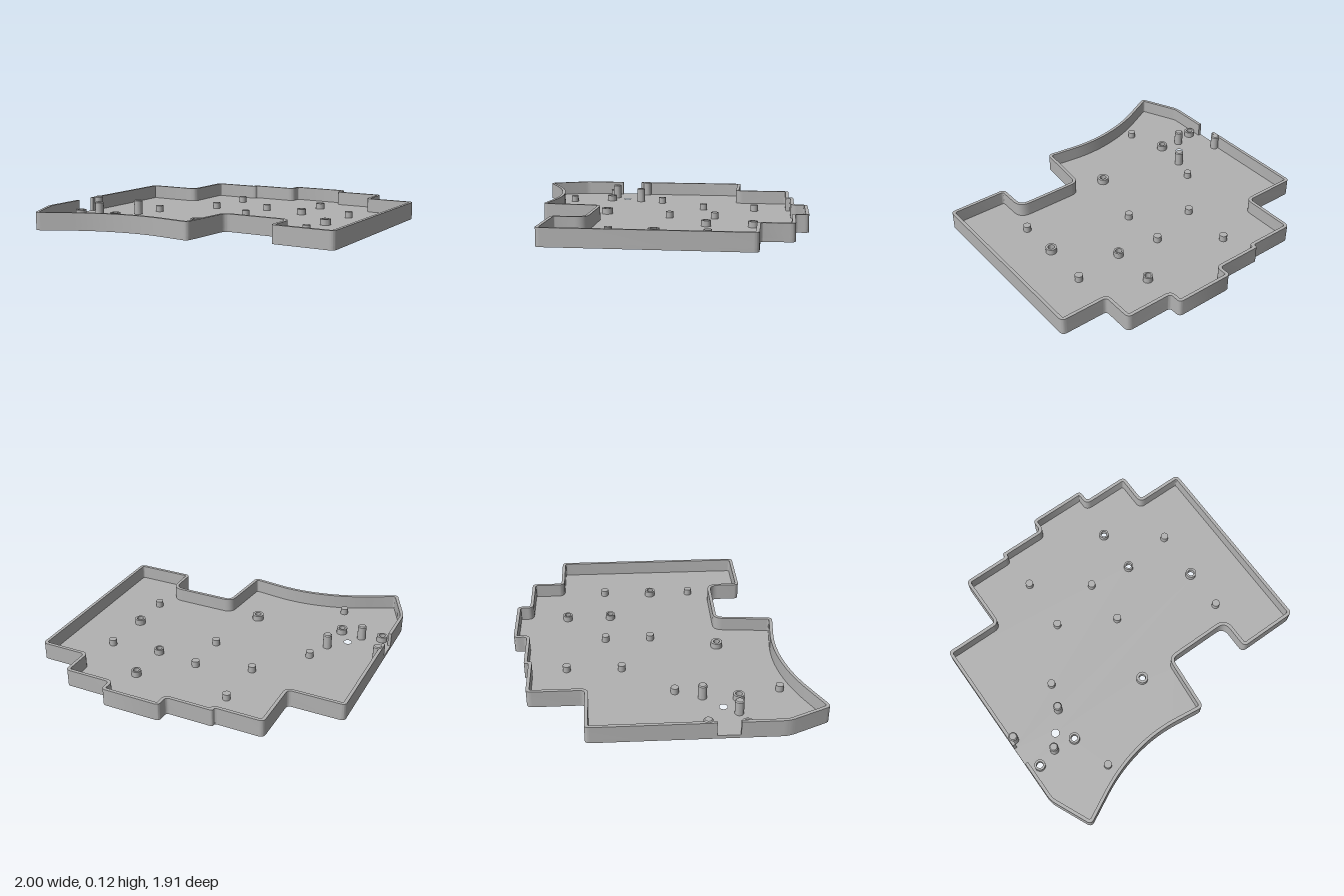
import * as THREE from 'three';
import { toCreasedNormals } from 'three/addons/utils/BufferGeometryUtils.js';

const FLOOR = 0.022, RIM = 0.113, WALL = 0.021;
const NOTCH = [0.28, 0.42]; // cable notch in the right wall, along z

// Tray outline: [x, z, corner radius], starting and ending at the notch
const outline = [
  [-1, NOTCH[0], 0],
  [-1, -0.485, 0.03], [-0.637, -0.485, 0.03], [-0.637, -0.84, 0.035],
  [-0.327, -0.84, 0.015], [-0.327, -0.87, 0.015], [-0.02, -0.87, 0.025],
  [-0.02, -0.956, 0.03], [0.374, -0.956, 0.03], [0.374, -0.87, 0.025],
  [0.687, -0.87, 0.035], [0.687, -0.665, 0.025], [1, -0.665, 0.035],
  [1, 0.608, 0.035], [0.597, 0.608, 0.035], [0.597, 0.4, 0.06],
  [0.165, 0.4, 0.04], [0.132, 0.776, 0.035], [-0.22, 0.732, 0.16],
  [-0.54, 0.795, 0.16], [-0.878, 0.968, 0.035], [-1, 0.7, 0.04],
  [-1, NOTCH[1], 0],
].map(([x, z, r]) => ({ p: new THREE.Vector2(x, -z), r }));

// Move the outline inward by t, keeping the corners concentric
function inset(pts, t) {
  const normal = (a, b) => {
    const d = b.p.clone().sub(a.p).normalize();
    return new THREE.Vector2(d.y, -d.x);
  };
  return pts.map((c, i) => {
    const n1 = i > 0 ? normal(pts[i - 1], c) : normal(c, pts[i + 1]);
    const n2 = i < pts.length - 1 ? normal(c, pts[i + 1]) : n1;
    const convex = n1.x * n2.y - n1.y * n2.x < 0;
    const p = n1.clone().add(n2).multiplyScalar(t / (1 + n1.dot(n2))).add(c.p);
    return { p, r: c.r === 0 ? 0 : Math.max(0.008, c.r + (convex ? -t : t)) };
  });
}

// Closed shape with rounded corners
function roundedShape(pts) {
  const s = new THREE.Shape();
  const n = pts.length;
  pts.forEach((c, i) => {
    const a = pts[(i + n - 1) % n].p, b = pts[(i + 1) % n].p;
    const toward = (q) => {
      const d = q.clone().sub(c.p), len = d.length();
      return d.multiplyScalar(Math.min(c.r, len * 0.48) / len).add(c.p);
    };
    const start = c.r ? toward(a) : c.p, end = c.r ? toward(b) : c.p;
    if (i === 0) s.moveTo(start.x, start.y);
    else s.lineTo(start.x, start.y);
    if (c.r) s.quadraticCurveTo(c.p.x, c.p.y, end.x, end.y);
  });
  s.closePath();
  return s;
}

function slab(shape, y, height) {
  const g = new THREE.ExtrudeGeometry(shape, { depth: height, bevelEnabled: false, curveSegments: 10 });
  g.rotateX(-Math.PI / 2).translate(0, y, 0);
  return toCreasedNormals(g, 0.5);
}

export function createModel() {
  const model = new THREE.Group();
  model.name = 'caseTray';
  const grey = new THREE.MeshStandardMaterial({ color: 0xb2b2b2 });
  grey.name = 'grey plastic';
  const add = (name, geometry, x = 0, z = 0) => {
    const m = new THREE.Mesh(geometry, grey);
    m.name = name;
    m.position.set(x, 0, z);
    model.add(m);
  };

  // Screw bosses: x, z, outer radius, hole radius
  const bosses = [
    [0.335, -0.613, 0.031, 0.02], [0.335, -0.32, 0.031, 0.02],
    [0.648, -0.03, 0.035, 0.021], [-0.06, 0.378, 0.038, 0.021],
    [-0.926, 0.467, 0.035, 0.021], [-0.65, 0.45, 0.035, 0.021],
  ];
  const resetHole = [-0.728, 0.347, 0, 0.025];

  // Floor with through holes
  const floor = roundedShape(outline);
  for (const [x, z, , r] of [...bosses, resetHole]) {
    floor.holes.push(new THREE.Path().absarc(x, -z, r, 0, Math.PI * 2, true));
  }
  add('floor', slab(floor, 0, FLOOR));

  // Rim wall, open at the notch
  const ring = [...outline, ...inset(outline, WALL).reverse()];
  add('rimWall', slab(roundedShape(ring), FLOOR, RIM - FLOOR));

  // Hollow screw bosses
  for (const [x, z, R, r] of bosses) {
    const s = new THREE.Shape().absarc(0, 0, R, 0, Math.PI * 2, false);
    s.holes.push(new THREE.Path().absarc(0, 0, r, 0, Math.PI * 2, true));
    add('screwBoss', slab(s, FLOOR, 0.038), x, z);
  }

  // Short support pegs
  const pegs = [
    [-0.29, -0.605], [-0.3, -0.255], [0.05, -0.355], [0.05, -0.057],
    [0.665, -0.355], [0.65, 0.245], [-0.565, 0.065], [-0.574, 0.714],
  ];
  const peg = new THREE.CylinderGeometry(0.025, 0.025, 0.042, 24).translate(0, FLOOR + 0.02, 0);
  for (const [x, z] of pegs) add('supportPeg', peg, x, z);

  // Tall posts with a chamfered top
  const profile = [[0.028, FLOOR - 0.002], [0.028, 0.113], [0.022, 0.119], [0, 0.119]];
  const post = toCreasedNormals(
    new THREE.LatheGeometry(profile.map(([r, y]) => new THREE.Vector2(r, y)), 24), 0.5);
  for (const [x, z] of [[-0.966, 0.23], [-0.625, 0.23], [-0.794, 0.435]]) add('tallPost', post, x, z);

  return model;
}
